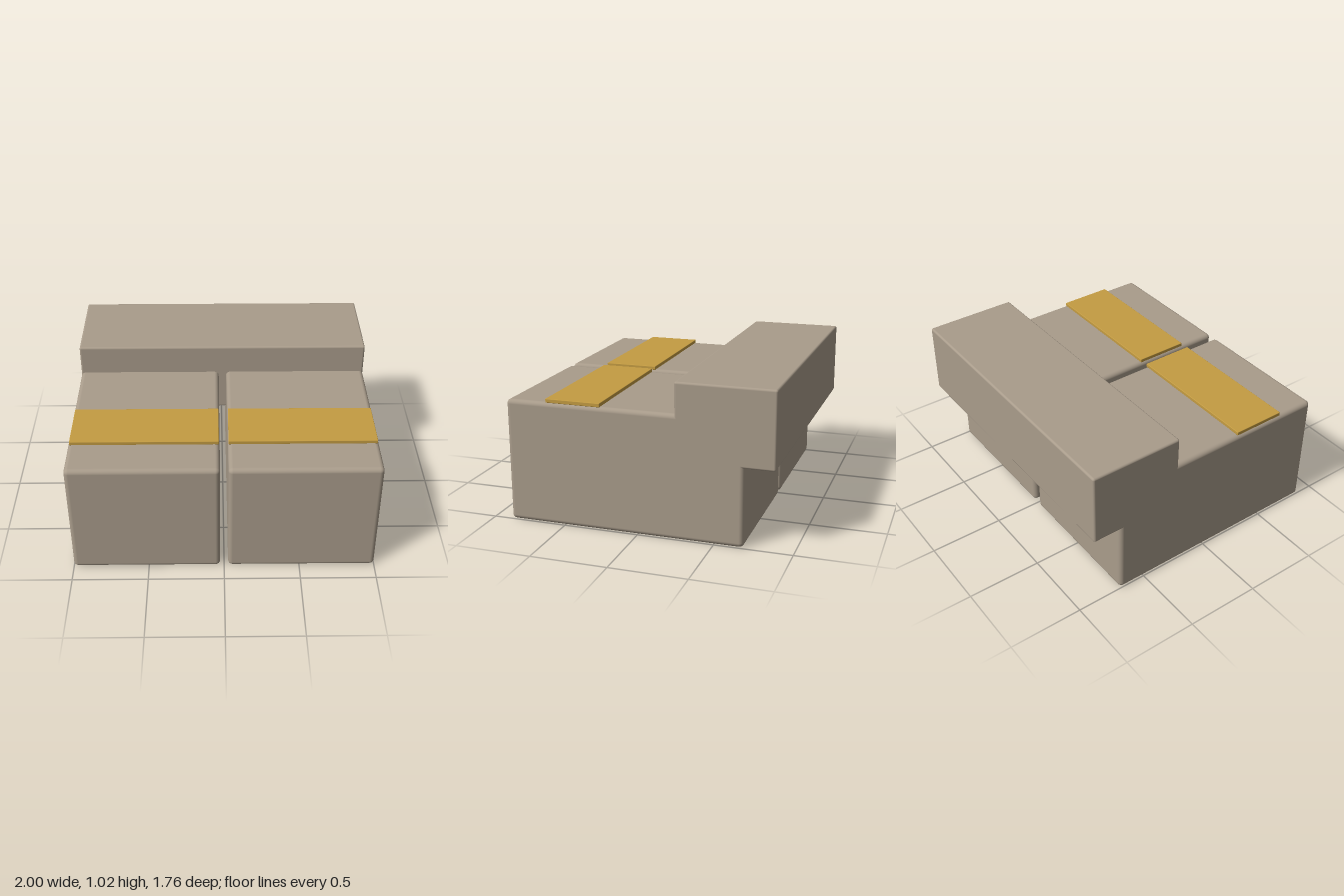
import * as THREE from 'three';
import { RoundedBoxGeometry } from 'three/addons/geometries/RoundedBoxGeometry.js';

export function createModel() {
  const model = new THREE.Group();
  model.name = 'sofa';
  const fabric = new THREE.MeshStandardMaterial({ color: 0xa99c8b });
  fabric.name = 'taupe fabric';
  const gold = new THREE.MeshStandardMaterial({ color: 0xc49c42 });
  gold.name = 'gold throw';

  // Rounded box given by its minimum and maximum corners
  function box(name, min, max, radius, material) {
    const size = max.map((v, i) => v - min[i]);
    const mesh = new THREE.Mesh(new RoundedBoxGeometry(...size, 4, radius), material);
    mesh.position.set(...max.map((v, i) => (v + min[i]) / 2));
    mesh.name = name;
    model.add(mesh);
  }

  // Two seat blocks, each with a flat throw laid across it
  for (const [side, s] of [['left', 1], ['right', -1]]) {
    const span = (a, b) => (s > 0 ? [a, b] : [-b, -a]);
    const [s0, s1] = span(0.026, 1);
    box(side + 'Seat', [s0, 0, -0.688], [s1, 0.813, 0.88], 0.03, fabric);
    const [t0, t1] = span(0.031, 0.99);
    box(side + 'Throw', [t0, 0.81, 0.243], [t1, 0.836, 0.609], 0.004, gold);
  }

  // Backrest running across both seats and overhanging behind
  box('backrest', [-1, 0.515, -0.88], [1, 1.016, -0.245], 0.014, fabric);

  return model;
}
